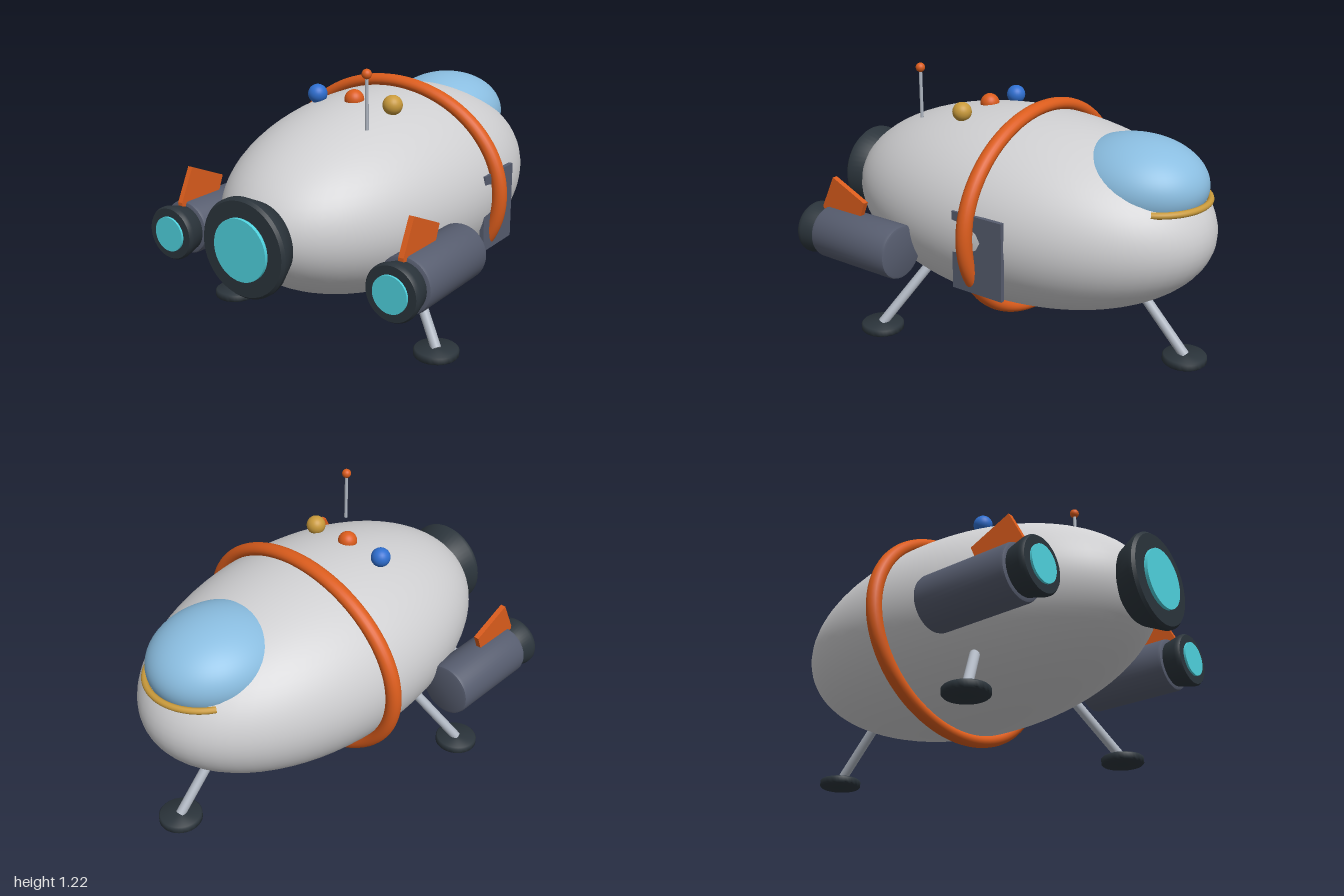
import * as THREE from 'three';
import { toCreasedNormals } from 'three/addons/utils/BufferGeometryUtils.js';

const paint = (name, color) => {
  const m = new THREE.MeshStandardMaterial({ color });
  m.name = name;
  return m;
};

export function createModel() {
  const white = paint('hull grey', 0xcfcfd1);
  const orange = paint('orange', 0xdb5c1c);
  const slate = paint('slate', 0x565c6e);
  const dark = paint('dark rubber', 0x2b343b);
  const cyan = paint('engine glow', 0x4fd2de);
  const glass = paint('canopy blue', 0x8abde0);
  const gold = paint('gold', 0xc99a3b);
  const blue = paint('blue', 0x2f6fd0);
  const steel = paint('steel', 0xaeb5c0);

  const model = new THREE.Group();
  model.name = 'spaceship';

  const add = (name, geometry, material, x = 0, y = 0, z = 0, parent = model) => {
    const mesh = new THREE.Mesh(geometry, material);
    mesh.name = name;
    mesh.position.set(x, y, z);
    parent.add(mesh);
    return mesh;
  };
  const ellipsoid = (rx, ry, rz) => new THREE.SphereGeometry(1, 64, 40).scale(rx, ry, rz);
  // Turned part along z; profile pairs are [radius, z]
  const turned = (profile) => toCreasedNormals(
    new THREE.LatheGeometry(profile.map(([r, z]) => new THREE.Vector2(r, z)), 48).rotateX(Math.PI / 2), 0.7);
  // Round rod between two points
  const rod = (name, a, b, r, material) => {
    const from = new THREE.Vector3(...a), to = new THREE.Vector3(...b);
    const mesh = add(name, new THREE.CylinderGeometry(r, r, from.distanceTo(to), 20), material);
    mesh.position.copy(from).lerp(to, 0.5);
    mesh.quaternion.setFromUnitVectors(new THREE.Vector3(0, 1, 0), to.sub(from).normalize());
  };

  // Hull and the band around it
  add('hull', ellipsoid(0.565, 0.455, 0.955), white, 0, 0.575, -0.03);
  add('hullRing', new THREE.TorusGeometry(0.584, 0.036, 20, 96), orange, 0, 0.575, -0.12).scale.y = 0.8145;

  // Cockpit canopy with its front trim
  add('canopy', ellipsoid(0.28, 0.205, 0.328), glass, 0, 0.8, -0.618);
  const arc = 2.1;
  const trim = new THREE.TorusGeometry(0.257, 0.015, 12, 40, arc)
    .rotateZ(Math.PI / 2 - arc / 2).rotateX(-Math.PI / 2);
  add('canopyTrim', trim, gold, 0, 0.745, -0.693);

  // Side hatch
  add('hatch', new THREE.BoxGeometry(0.02, 0.36, 0.27), slate, 0.547, 0.51, -0.165);

  // Main engine
  add('mainNozzle', turned([[0, 0.84], [0.165, 0.86], [0.175, 0.872], [0.216, 0.955],
    [0.216, 0.972], [0.205, 0.985], [0, 0.985]]), dark, 0, 0.553, 0);
  add('mainGlow', turned([[0, 0.96], [0.135, 0.96], [0.135, 1], [0, 1]]), cyan, 0, 0.553, 0);

  // Side engines, each with a fin and a strut to the hull
  const finShape = new THREE.Shape([[0.727, 0.54], [0.727, 0.565], [0.65, 0.717], [0.453, 0.63], [0.49, 0.54]]
    .map(([z, y]) => new THREE.Vector2(z, y)));
  const finGeometry = new THREE.ExtrudeGeometry(finShape, { depth: 0.025, bevelEnabled: false })
    .translate(0, 0, -0.0125).rotateY(-Math.PI / 2);
  const podGeometry = turned([[0, 0.24], [0.112, 0.24], [0.122, 0.244], [0.126, 0.256],
    [0.126, 0.688], [0.122, 0.7], [0.112, 0.704], [0, 0.704]]);
  const podNozzle = turned([[0, 0.69], [0.1, 0.69], [0.106, 0.702], [0.125, 0.775],
    [0.125, 0.79], [0.118, 0.8], [0, 0.8]]);
  const podGlow = turned([[0, 0.78], [0.081, 0.78], [0.081, 0.81], [0, 0.81]]);
  for (const [side, s] of [['left', 1], ['right', -1]]) {
    const engine = new THREE.Group();
    engine.name = side + 'Engine';
    engine.position.set(0.594 * s, 0.438, 0);
    model.add(engine);
    add(side + 'EngineBody', podGeometry, slate, 0, 0, 0, engine);
    add(side + 'EngineNozzle', podNozzle, dark, 0, 0, 0, engine);
    add(side + 'EngineGlow', podGlow, cyan, 0, 0, 0, engine);
    add(side + 'Fin', finGeometry, orange, 0.594 * s, 0, 0);
    rod(side + 'EngineStrut', [0.435 * s, 0.463, 0.48], [0.58 * s, 0.44, 0.48], 0.024, steel);
  }

  // Landing gear: two rear legs and one at the nose
  const foot = toCreasedNormals(new THREE.LatheGeometry([[0, 0], [0.094, 0], [0.1, 0.006],
    [0.1, 0.03], [0.094, 0.036], [0, 0.036]].map(([r, y]) => new THREE.Vector2(r, y)), 40), 0.9);
  const legs = [
    ['leftRear', [0.375, 0.28, 0.285], [0.573, 0.03, 0.405]],
    ['rightRear', [-0.375, 0.28, 0.285], [-0.573, 0.03, 0.405]],
    ['nose', [0, 0.28, -0.66], [0, 0.03, -0.9]],
  ];
  for (const [name, top, bottom] of legs) {
    rod(name + 'Leg', top, bottom, 0.023, steel);
    add(name + 'Foot', foot, dark, bottom[0], 0, bottom[2]);
  }

  // Roof lamps
  const lamp = new THREE.SphereGeometry(0.045, 28, 18);
  [['blueLamp', blue], ['orangeLamp', orange], ['goldLamp', gold]].forEach(([name, material], i) =>
    add(name, lamp, material, (i - 1) * 0.206, 1.02, 0.195));

  // Antenna
  rod('antennaMast', [0.227, 0.96, 0.425], [0.227, 1.2, 0.425], 0.008, steel);
  add('antennaTip', new THREE.SphereGeometry(0.022, 20, 14), orange, 0.227, 1.2, 0.425);

  return model;
}
